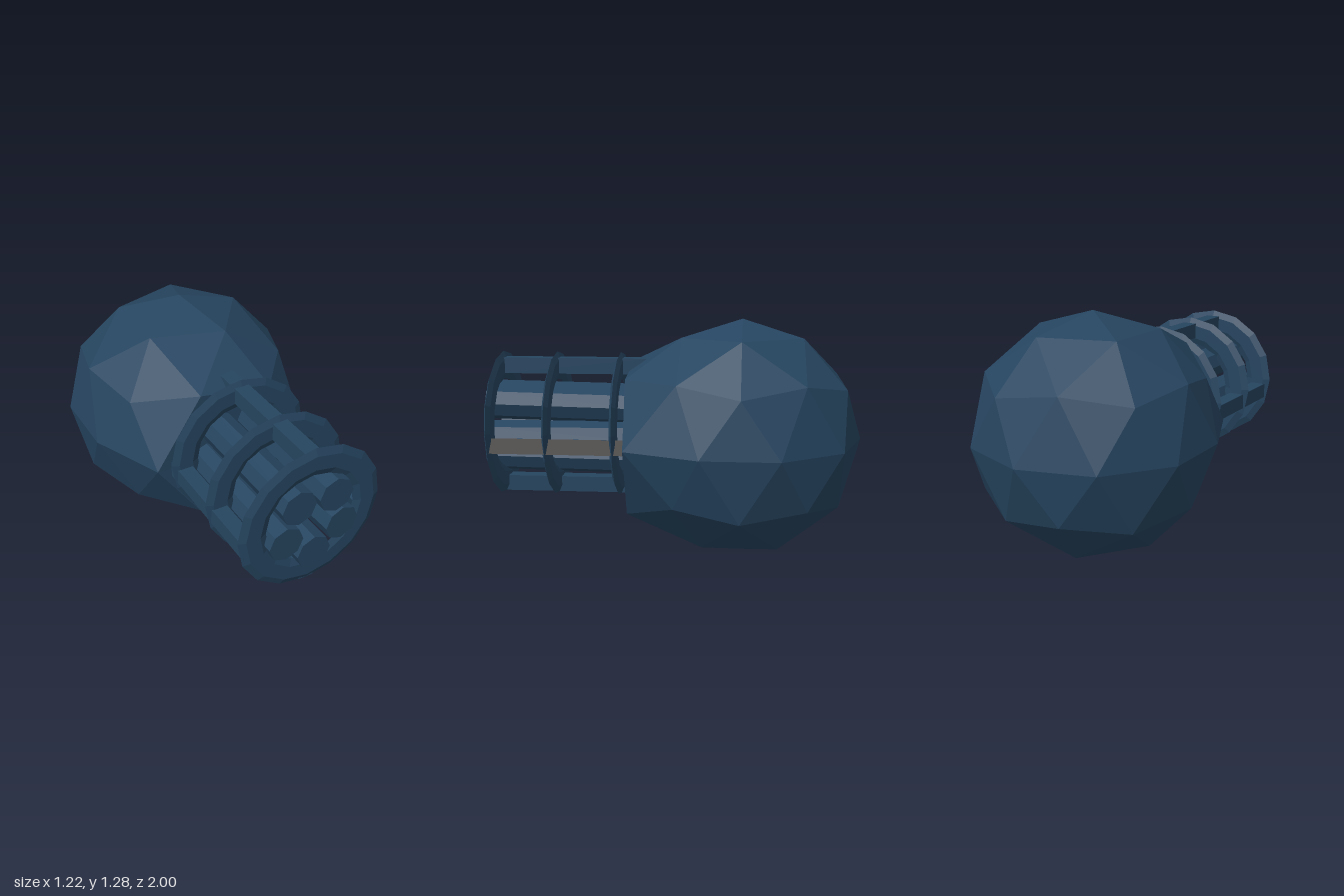
import * as THREE from 'three';

const mat = (name, color) => {
  const m = new THREE.MeshStandardMaterial({ color, flatShading: true });
  m.name = name;
  return m;
};

// Faceted ball with a vertex straight up and its front cap pulled into a flat, widened face
function ballGeometry(radius, cy, cz) {
  const geo = new THREE.IcosahedronGeometry(1, 1);
  const phi = (1 + Math.sqrt(5)) / 2;
  const up = new THREE.Vector3(0, 1, phi).normalize();
  const side = new THREE.Vector3(0, -1, phi).normalize();
  side.addScaledVector(up, -side.dot(up)).normalize();
  const front = new THREE.Vector3().crossVectors(side, up);
  geo.applyMatrix4(new THREE.Matrix4().makeBasis(side, up, front).transpose());
  const p = geo.attributes.position;
  for (let i = 0; i < p.count; i++) {
    let x = p.getX(i) * radius, y = p.getY(i) * radius, z = p.getZ(i) * radius + cz;
    if (z > 0.1) {
      x *= 1.17;
      y *= 1.17;
      z = Math.abs(x) > 0.3 ? 0.23 : 0.245;
    }
    p.setXYZ(i, x, y + cy, z);
  }
  geo.computeVertexNormals();
  return geo;
}

export function createModel() {
  const model = new THREE.Group();
  const blue = mat('navy blue', 0x264560);
  const grey = mat('warm grey', 0x4b4845);
  const add = (name, geo, material, x = 0, y = 0, z = 0) => {
    const mesh = new THREE.Mesh(geo, material);
    mesh.name = name;
    mesh.position.set(x, y, z);
    model.add(mesh);
    return mesh;
  };

  add('body', ballGeometry(0.64, 0.64, -0.36), blue);

  // Flat cage rings
  const ring = new THREE.TorusGeometry(0.318, 0.075, 6, 16);
  ring.scale(1, 1, 0.25);
  for (const z of [0.295, 0.645, 0.945]) add('cageRing', ring, blue, 0, 0.705, z);

  // Square bars joining the rings; the left one has grey outer and lower faces
  const bar = new THREE.BoxGeometry(0.082, 0.085, 0.8);
  add('topBar', bar, blue, 0, 1.023, 0.55);
  add('bottomBar', bar, blue, 0, 0.365, 0.55);
  add('rightBar', bar, blue, -0.322, 0.635, 0.55);
  const leftBar = add('leftBar', new THREE.BoxGeometry(0.07, 0.08, 0.8),
    [grey, blue, blue, grey, blue, blue], 0.317, 0.633, 0.55);
  leftBar.rotation.z = 0.2;

  // Five barrels: muzzle centre, then the drift of the rear end
  const barrels = [
    [-0.103, 0.833, 0, -0.015], [0.1, 0.833, 0.01, -0.015], [0.147, 0.647, -0.04, 0],
    [-0.003, 0.528, 0, -0.012], [-0.163, 0.645, 0, -0.005],
  ];
  const barrel = new THREE.CylinderGeometry(0.092, 0.092, 0.82, 8);
  barrel.rotateX(Math.PI / 2);
  for (const [x, y, dx, dy] of barrels) {
    const mesh = add('barrel', barrel, blue, x + dx / 2, y + dy / 2, 0.59);
    mesh.lookAt(x, y, 1);
  }
  return model;
}
